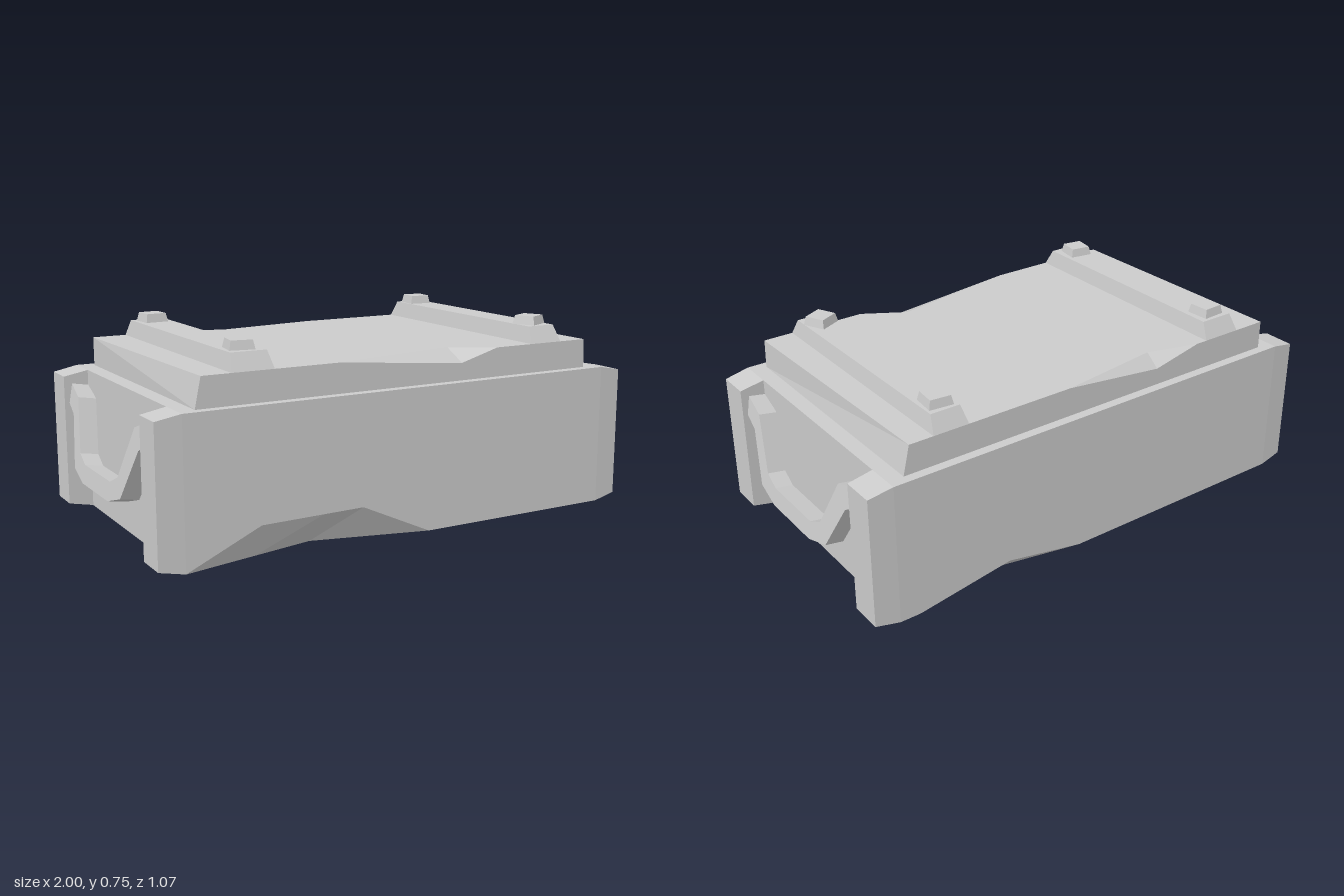
import * as THREE from 'three';

const grey = new THREE.MeshStandardMaterial({ color: 0xcccccc, flatShading: true });

function add(parent, name, geometry) {
  const mesh = new THREE.Mesh(geometry, grey);
  mesh.name = name;
  parent.add(mesh);
  return mesh;
}

// Piecewise linear value over [x, value] pairs, zero outside them
function along(pairs, x) {
  for (let i = 1; i < pairs.length; i++) {
    const [x0, v0] = pairs[i - 1], [x1, v1] = pairs[i];
    if (x >= x0 && x <= x1) return v0 + (v1 - v0) * (x - x0) / (x1 - x0);
  }
  return 0;
}

// Closed solid through rings of [x, y, z], each counterclockwise seen from the last ring's end
function loft(rings) {
  const pos = [];
  const tri = (a, b, c) => pos.push(...a, ...b, ...c);
  const n = rings[0].length;
  for (let i = 0; i + 1 < rings.length; i++) {
    const a = rings[i], b = rings[i + 1];
    for (let k = 0; k < n; k++) {
      const m = (k + 1) % n;
      tri(a[k], a[m], b[k]);
      tri(a[m], b[m], b[k]);
    }
  }
  const first = rings[0], last = rings[rings.length - 1];
  for (let k = 1; k + 1 < n; k++) {
    tri(first[0], first[k + 1], first[k]);
    tri(last[0], last[k], last[k + 1]);
  }
  const g = new THREE.BufferGeometry();
  g.setAttribute('position', new THREE.Float32BufferAttribute(pos, 3));
  g.computeVertexNormals();
  return g;
}

const stations = (...lists) =>
  [...new Set(lists.flat().map((p) => (Array.isArray(p) ? p[0] : p)))].sort((a, b) => a - b);

// Long board with tapered ends and a chip along its lower outer edge
function boardGeometry(chipHeight, chipDepth) {
  return loft(stations([-0.975, -0.88, 0.88, 0.975], chipHeight, chipDepth).map((x) => {
    const end = Math.abs(x) > 0.9 ? 1 : 0;
    const low = 0.02 * end, high = 0.54 - 0.018 * end, z = 0.533 - 0.006 * end;
    return [
      [x, low + along(chipHeight, x), z],
      [x, low, z - along(chipDepth, x)],
      [x, low, 0.4],
      [x, high, 0.4],
      [x, high, z],
    ];
  }));
}

// Lid slab with one chip in each long upper edge and slightly crooked ends
function lidGeometry() {
  const front = [[-0.28, 0], [0.24, 1], [0.4, 0]];
  const back = [[-0.48, 0], [-0.28, 1], [0.13, 0]];
  const top = 0.65, z = 0.497;
  return loft(stations([-0.82, 0.82], front, back).map((x) => {
    const f = along(front, x), b = along(back, x);
    const topFront = x < -0.8 ? -0.797 : x > 0.8 ? 0.817 : x;
    const topBack = x > 0.8 ? 0.795 : x;
    return [
      [x, 0.54, z],
      [x, 0.54, -z],
      [topBack, top - 0.045 * b, -z],
      [topBack, top, -z + 0.057 * b],
      [topFront, top, z - 0.095 * f],
      [topFront, top - 0.045 * f, z],
    ];
  }));
}

// Block whose top is inset by dx and dz, standing on y = 0
function taperedBox(w, h, d, dx, dz) {
  const g = new THREE.BoxGeometry(w, h, d).translate(0, h / 2, 0);
  const p = g.attributes.position;
  for (let i = 0; i < p.count; i++) {
    if (p.getY(i) > h / 2) {
      p.setX(i, p.getX(i) - Math.sign(p.getX(i)) * dx);
      p.setZ(i, p.getZ(i) - Math.sign(p.getZ(i)) * dz);
    }
  }
  g.computeVertexNormals();
  return g;
}

// Drooping angular handle, leaning outward at its foot
function handleGeometry() {
  const upper = [[0.405, 0.5], [0.31, 0.46], [0.21, 0.265], [0.145, 0.235],
    [-0.125, 0.235], [-0.19, 0.265], [-0.285, 0.46], [-0.405, 0.5]];
  const lower = [[-0.405, 0.425], [-0.345, 0.39], [-0.24, 0.2], [-0.125, 0.165],
    [0.145, 0.165], [0.25, 0.2], [0.338, 0.39], [0.405, 0.425]];
  const shape = new THREE.Shape([...upper, ...lower].map(([z, y]) => new THREE.Vector2(-z, y - 0.165)));
  return new THREE.ExtrudeGeometry(shape, { depth: 0.07, bevelEnabled: false })
    .translate(0, 0, -0.07)
    .rotateY(Math.PI / 2)
    .rotateZ(0.17)
    .translate(1, 0.165, 0);
}

export function createModel() {
  const model = new THREE.Group();
  model.name = 'crate';

  // Box body between the two long boards
  add(model, 'body', new THREE.BoxGeometry(1.76, 0.54, 0.8).translate(0, 0.27, 0));
  add(model, 'frontBoard', boardGeometry(
    [[-0.88, 0], [-0.6, 0.125], [-0.2, 0.13], [0.08, 0]],
    [[-0.88, 0], [-0.36, 0.11], [0.08, 0]],
  ));
  add(model, 'backBoard', boardGeometry(
    [[-0.8, 0], [-0.42, 0.06], [-0.1, 0]],
    [[-0.8, 0], [-0.45, 0.07], [-0.1, 0]],
  )).rotation.y = Math.PI;

  add(model, 'lid', lidGeometry());

  // Lid battens, each with a crooked bolt head near both ends
  const battens = [
    { name: 'right', x: -0.607, width: 0.16, turns: [0.06, -0.16] },
    { name: 'left', x: 0.63, width: 0.14, turns: [-0.1, 0.45] },
  ];
  for (const { name, x, width, turns } of battens) {
    add(model, name + 'Batten', taperedBox(width, 0.062, 0.994, 0.012, 0.034)).position.set(x, 0.65, 0);
    turns.forEach((turn, i) => {
      const bolt = add(model, name + (i ? 'FrontBolt' : 'BackBolt'), taperedBox(0.092, 0.034, 0.092, 0.007, 0.007));
      bolt.position.set(x - 0.002, 0.711, i ? 0.39 : -0.4);
      bolt.rotation.y = turn;
    });
  }

  // Handles in the end recesses
  add(model, 'leftHandle', handleGeometry());
  const mirrored = handleGeometry().rotateY(Math.PI);
  add(model, 'rightHandle', mirrored);

  return model;
}
